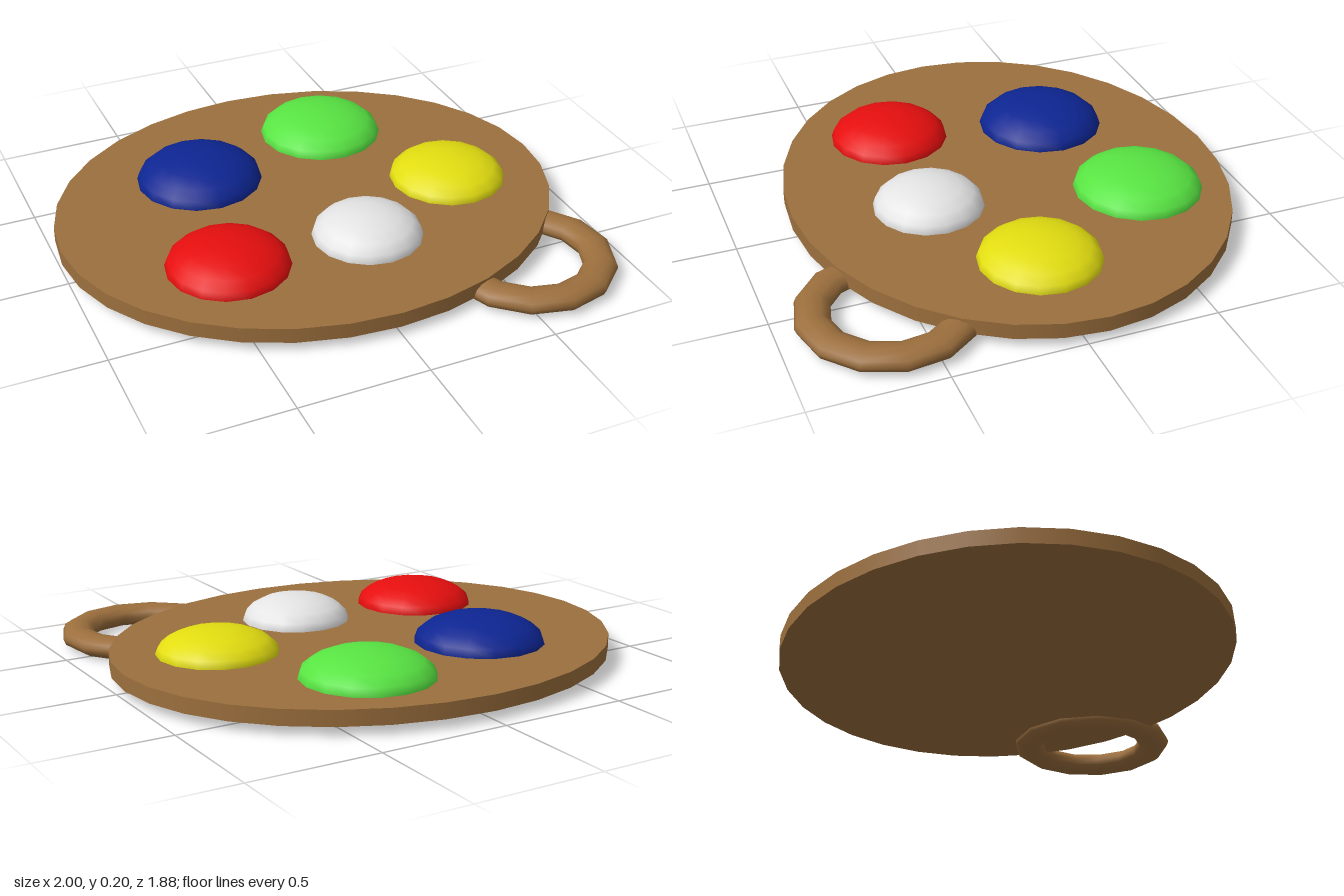
import * as THREE from 'three';

const paint = (name, color) => {
  const m = new THREE.MeshStandardMaterial({ color });
  m.name = name;
  return m;
};

export function createModel() {
  const group = new THREE.Group();
  group.name = 'paintPalette';
  const wood = paint('wood brown', 0x9c6f3d);

  const add = (name, geometry, material, x, y, z) => {
    const mesh = new THREE.Mesh(geometry, material);
    mesh.name = name;
    mesh.position.set(x, y, z);
    group.add(mesh);
  };

  // Oval board
  const board = new THREE.CylinderGeometry(1, 1, 0.06, 32);
  board.scale(1, 1, 0.86);
  add('board', board, wood, 0, 0.065, -0.08);

  // Flattened thumb ring, tucked under the front left edge
  const ring = new THREE.TorusGeometry(0.274, 0.066, 12, 13);
  ring.rotateZ(Math.PI / 2);
  ring.rotateX(Math.PI / 2);
  ring.scale(1, 0.65, 1);
  add('thumbRing', ring, wood, 0.62, 0.043, 0.595);

  // Domes of paint: name, colour, x, z, radius, top height
  const blobs = [
    ['blue', 0x0d2592, -0.34, -0.375, 0.253, 0.205],
    ['green', 0x58e442, 0.265, -0.535, 0.253, 0.2],
    ['yellow', 0xe2dd10, 0.586, 0.01, 0.234, 0.19],
    ['red', 0xe60e0e, -0.455, 0.25, 0.238, 0.195],
    ['white', 0xe4e4e4, 0.105, 0.27, 0.215, 0.2],
  ];
  const base = 0.092;
  for (const [name, color, x, z, r, top] of blobs) {
    const dome = new THREE.SphereGeometry(1, 16, 5, 0, Math.PI * 2, 0, Math.PI / 2);
    dome.scale(r, top - base, r);
    add(name + 'Paint', dome, paint(name + ' paint', color), x, base, z);
  }
  return group;
}
